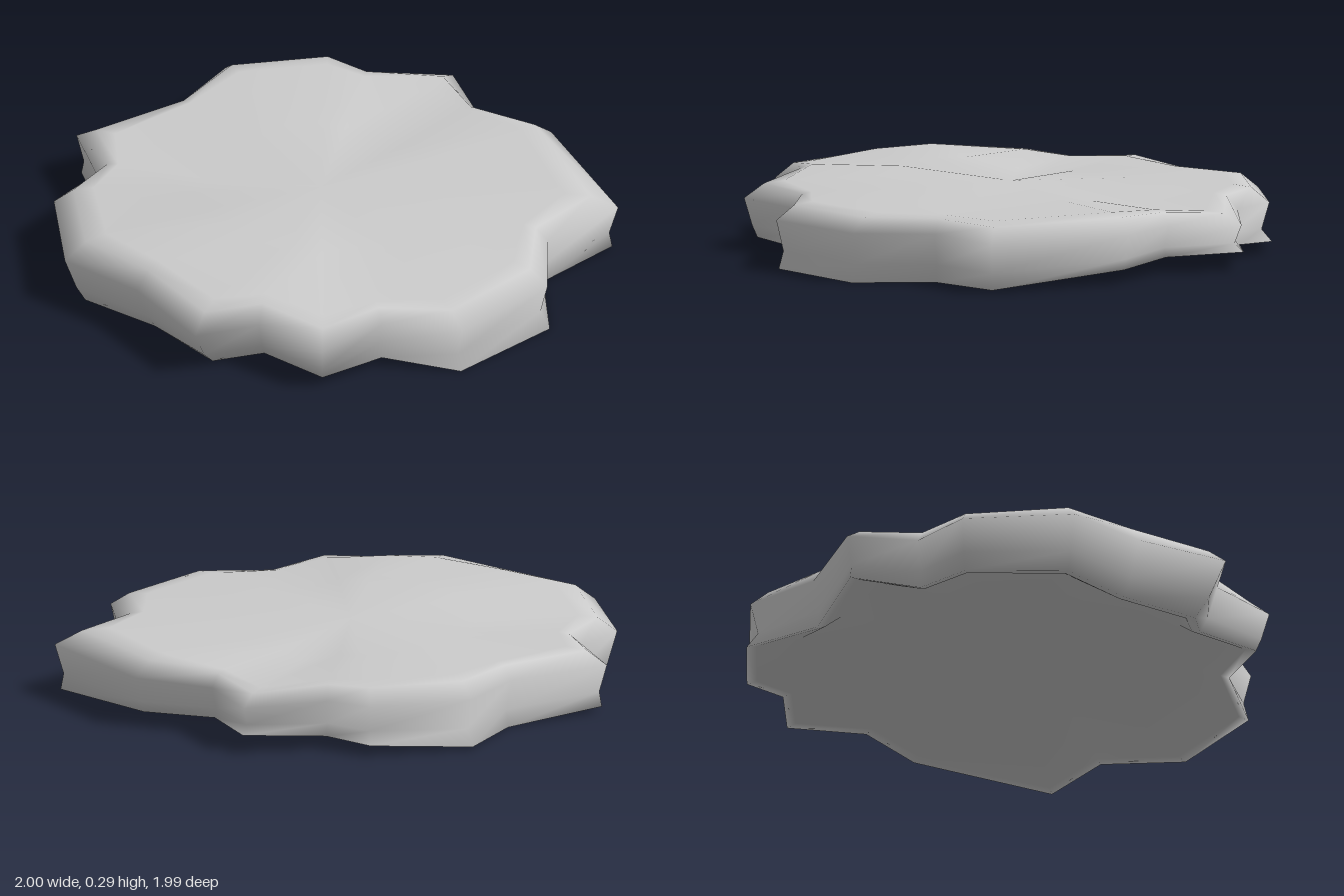
import * as THREE from 'three';

// Rim corners, clockwise from the back: x, z, shoulder height, lip height, lip spread
const RIM = [
  [-0.02, -0.99, 0.21, 0.07, 1.01], [0.19, -0.81, 0.23, 0.06, 0.98],
  [0.49, -0.83, 0.25, 0.05, 0.96], [0.95, -0.53, 0.24, 0.01, 0.98],
  [0.84, -0.21, 0.24, 0.00, 0.98], [0.99, 0.05, 0.24, 0.00, 1.01],
  [0.87, 0.46, 0.24, 0.00, 0.99], [0.59, 0.57, 0.24, 0.04, 1.01],
  [0.50, 0.84, 0.25, 0.04, 0.95], [0.22, 0.82, 0.28, 0.03, 0.92],
  [0.05, 0.995, 0.265, 0.00, 0.86], [-0.28, 0.85, 0.28, 0.00, 0.90],
  [-0.61, 0.81, 0.27, 0.00, 0.92], [-0.85, 0.48, 0.245, 0.00, 0.94],
  [-0.81, 0.24, 0.235, 0.00, 0.97], [-1.00, 0.06, 0.235, 0.02, 0.98],
  [-0.77, -0.28, 0.24, 0.00, 0.98], [-0.75, -0.59, 0.25, 0.01, 1.015],
  [-0.455, -0.83, 0.25, 0.04, 1.01], [-0.27, -0.81, 0.24, 0.05, 1.01],
];

// Inset that softens the star outline
const inset = (x, z) => 0.86 * (0.6 + 0.38 / Math.hypot(x, z));
const at = (x, y, z, scale) => [x * scale, y, z * scale];
// Shallow hollow in the upper face
const hollow = (x, z) => 0.035 * Math.exp(-6 * ((x + 0.83) ** 2 + (z - 0.36) ** 2));

// Cross-sections from the domed underside, round the lip, up to the inner top
const RINGS = [
  ([x, z]) => at(x, 0.12, z, inset(x, z) * 0.5),
  ([x, z, top, low, s]) => at(x, 0.065 + low * 0.3, z, Math.min(inset(x, z), s - 0.04) - 0.06),
  ([x, z, top, low, s]) => at(x, low + 0.008, z, s - 0.04),
  ([x, z, top, low, s]) => at(x, low, z, s),
  ([x, z, top, low, s]) => at(x, low * 0.5 + 0.065, z, Math.min((0.96 + s) / 2 + 0.015, 0.97)),
  ([x, z, top]) => at(x, top * 0.4 + 0.085, z, 1),
  ([x, z, top]) => at(x, top * 0.8 + 0.04, z, (1 + inset(x, z)) / 2),
  ([x, z, top]) => at(x, top, z, inset(x, z)),
  ([x, z, top]) => at(x, top * 0.6 + 0.105 + 0.02 * z - hollow(x, z), z, inset(x, z) * 0.55),
];

function slabSurface() {
  const n = RIM.length;
  const positions = [];
  const index = [];
  for (const ring of RINGS) for (const corner of RIM) positions.push(...ring(corner));
  positions.push(0, 0.255, 0, 0, 0.15, 0);
  const topCentre = RINGS.length * n;
  for (let r = 0; r < RINGS.length; r++) {
    for (let i = 0; i < n; i++) {
      const a = r * n + i;
      const b = r * n + (i + 1) % n;
      if (r === 0) index.push(a, b, topCentre + 1);
      if (r === RINGS.length - 1) index.push(topCentre, b, a);
      else index.push(a + n, b, a, a + n, b + n, b);
    }
  }
  const geometry = new THREE.BufferGeometry();
  geometry.setAttribute('position', new THREE.Float32BufferAttribute(positions, 3));
  geometry.setIndex(index);
  geometry.computeVertexNormals();
  return geometry;
}

export function createModel() {
  const group = new THREE.Group();
  group.name = 'stoneSlab';
  // One closed, softly shaded slab
  const slab = new THREE.Mesh(slabSurface(), new THREE.MeshStandardMaterial({ color: 0xcccccc }));
  slab.name = 'slab';
  group.add(slab);
  return group;
}
